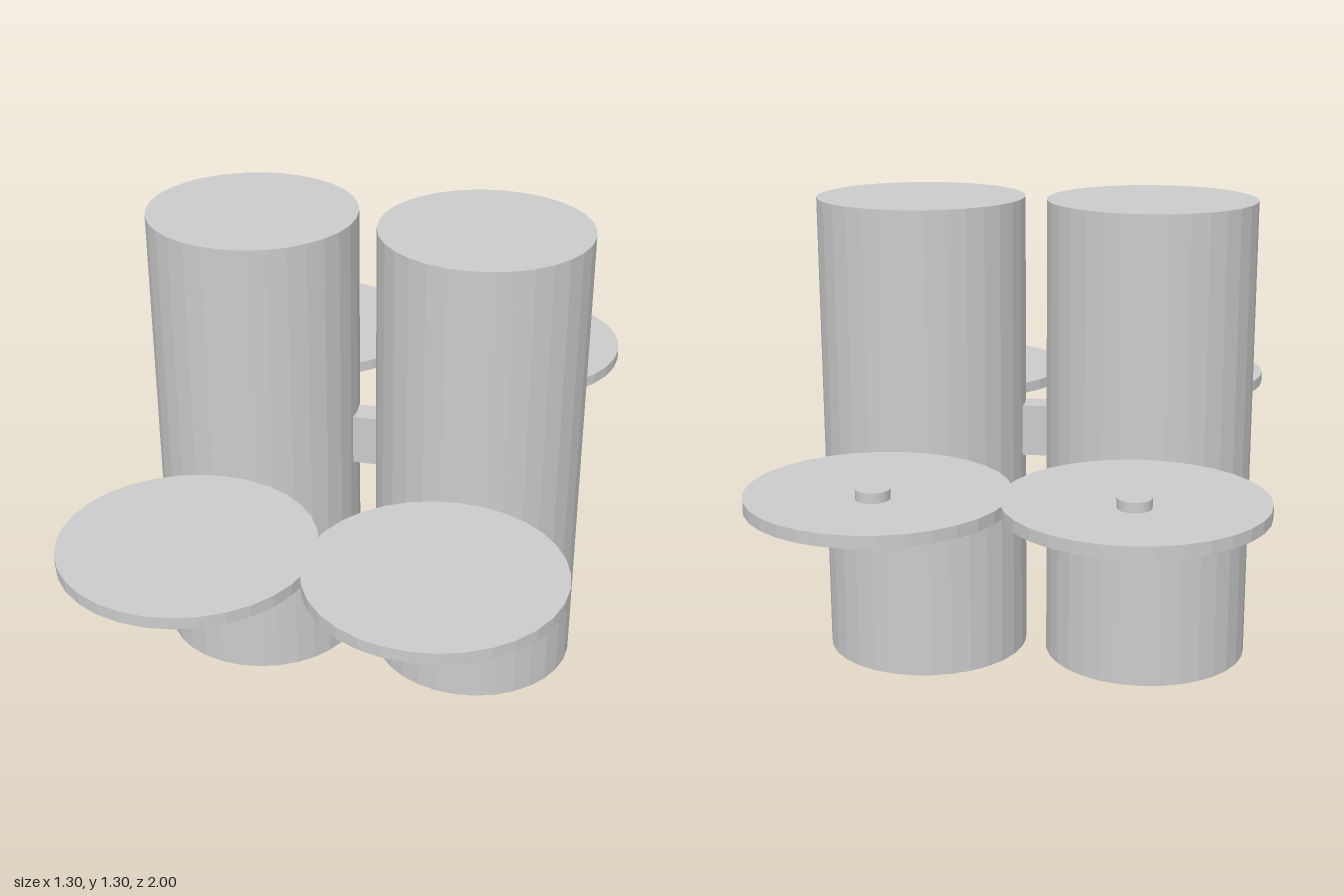
import * as THREE from 'three';

const material = new THREE.MeshStandardMaterial({ color: 0xcccccc, flatShading: true });

function addCylinder(group, name, radius, height, x, y, z) {
  const mesh = new THREE.Mesh(new THREE.CylinderGeometry(radius, radius, height, 32), material);
  mesh.name = name;
  mesh.position.set(x, y, z);
  group.add(mesh);
}

export function createModel() {
  const model = new THREE.Group();
  model.name = 'twinCylinderAssembly';
  const midY = 0.651;

  for (const [side, sx] of [['left', 1], ['right', -1]]) {
    const x = sx * 0.317;
    // Tall main barrel
    addCylinder(model, `${side}Barrel`, 0.287, 1.302, x, midY, 0);
    // Thin discs in front and behind, just overlapping at the centre line
    addCylinder(model, `${side}FrontDisc`, 0.331, 0.032, x, midY, 0.669);
    addCylinder(model, `${side}RearDisc`, 0.331, 0.032, x, midY, -0.669);
    // Small off-centre pin through the rear disc
    addCylinder(model, `${side}Pin`, 0.043, 0.084, x, midY, -0.73);
  }

  // Bridge joining the two barrels
  const bridge = new THREE.Mesh(new THREE.BoxGeometry(0.072, 0.144, 0.078), material);
  bridge.name = 'bridge';
  bridge.position.y = midY;
  model.add(bridge);

  return model;
}
